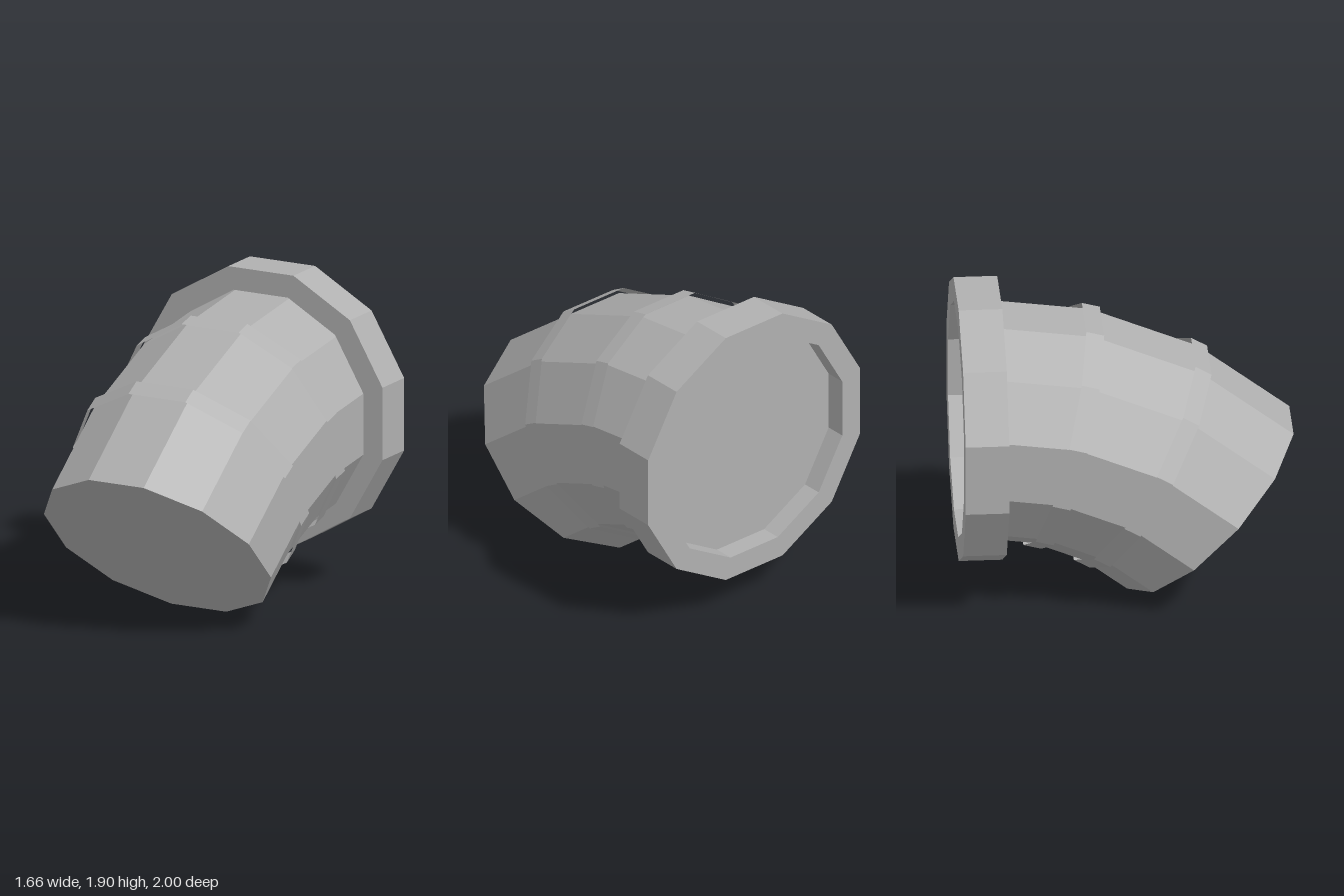
import * as THREE from 'three';

const SIDES = 12;
const PIPE_R = 0.725;   // pipe radius
const BEND_R = 1.946;   // radius of the bend's centre line
const PIVOT = -0.876;   // bend pivot, same value for y and z
const rad = THREE.MathUtils.degToRad;
const ANGLES = [45, 60, 75, 90].map(rad);

// Point on the bend: angle a along it, distance rho from the pivot
const onBend = (a, rho, x = 0) =>
  [x, PIVOT + rho * Math.sin(a), PIVOT + rho * Math.cos(a)];

// Twelve-sided pipe in three mitred segments, closed at both ends
function bentPipe() {
  const pos = [];
  const point = (i, j) => {
    const p = rad(15 + (j * 360) / SIDES);
    return onBend(ANGLES[i], BEND_R + PIPE_R * Math.sin(p), PIPE_R * Math.cos(p));
  };
  const tri = (a, b, c) => pos.push(...a, ...b, ...c);
  const last = ANGLES.length - 1;
  for (let j = 0; j < SIDES; j++) {
    for (let i = 0; i < last; i++) {
      tri(point(i, j), point(i + 1, j), point(i, j + 1));
      tri(point(i + 1, j), point(i + 1, j + 1), point(i, j + 1));
    }
    tri(onBend(ANGLES[0], BEND_R), point(0, j), point(0, j + 1));
    tri(onBend(ANGLES[last], BEND_R), point(last, j + 1), point(last, j));
  }
  const geo = new THREE.BufferGeometry();
  geo.setAttribute('position', new THREE.Float32BufferAttribute(pos, 3));
  geo.computeVertexNormals();
  return geo;
}

export function createModel() {
  const group = new THREE.Group();
  const metal = new THREE.MeshStandardMaterial({
    color: 0xb0b0b0, flatShading: true, side: THREE.DoubleSide,
  });
  metal.name = 'grey metal';

  const add = (name, geo) => {
    const mesh = new THREE.Mesh(geo, metal);
    mesh.name = name;
    group.add(mesh);
    return mesh;
  };

  add('bentPipe', bentPipe());

  // Thin open bands over the two inner joints
  for (const [k, name] of [[1, 'frontBand'], [2, 'rearBand']]) {
    const band = add(name, new THREE.CylinderGeometry(0.75, 0.75, 0.11, SIDES, 1, true, rad(15)));
    band.position.set(...onBend(ANGLES[k], BEND_R));
    band.rotation.x = Math.PI - ANGLES[k];
  }

  // Flange collar with a shallow recess at the back
  const profile = [
    [0.715, -0.876], [0.715, -1], [0.86, -1], [0.86, -0.74], [0.715, -0.74],
  ].map(([r, z]) => new THREE.Vector2(r, z));
  const flange = add('flange', new THREE.LatheGeometry(profile, SIDES, rad(15)));
  flange.rotation.x = Math.PI / 2;
  flange.position.y = PIVOT + BEND_R;

  return group;
}
